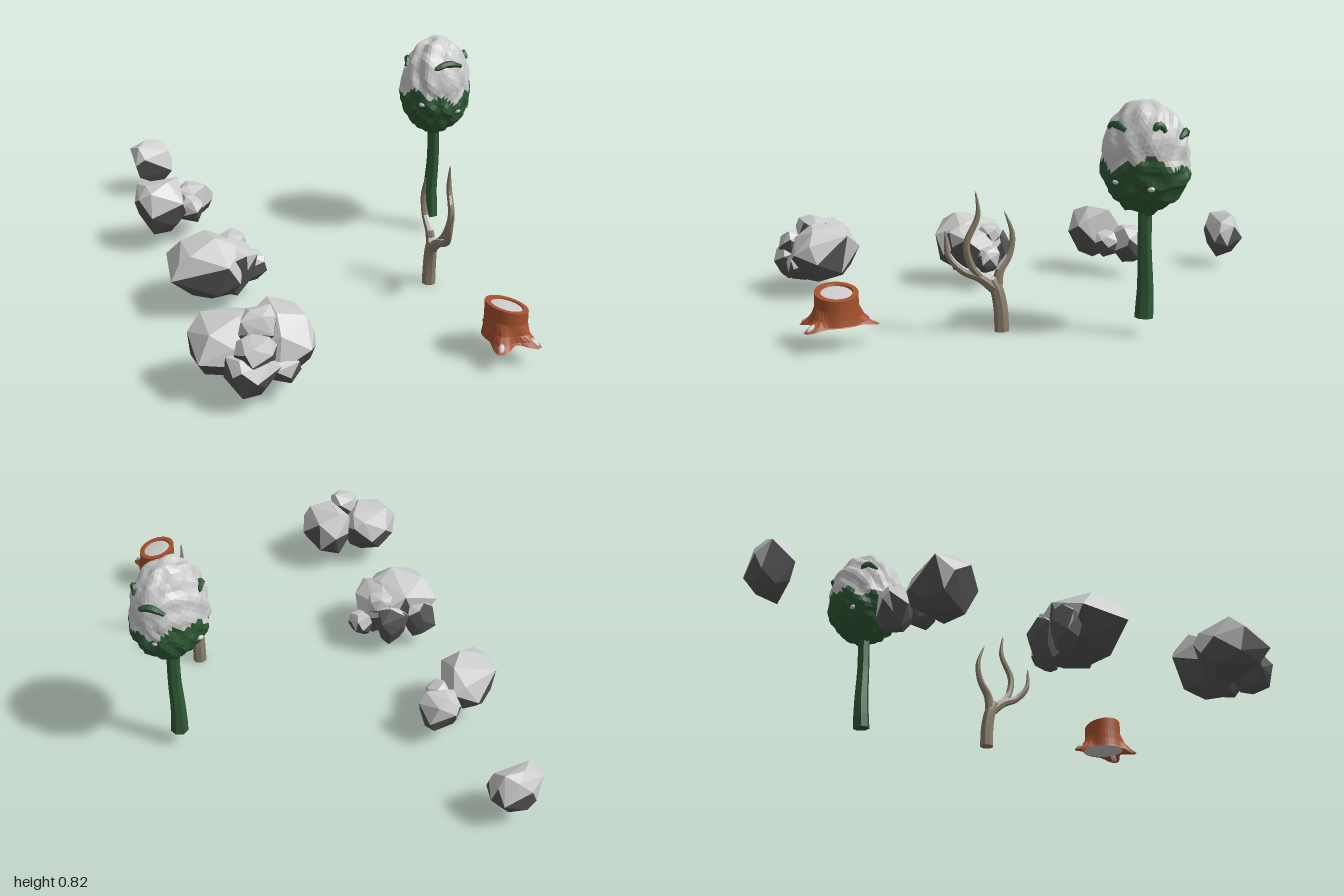
import * as THREE from 'three';
import { ConvexGeometry } from 'three/addons/geometries/ConvexGeometry.js';
import { mergeGeometries } from 'three/addons/utils/BufferGeometryUtils.js';

const V = (x, y, z) => new THREE.Vector3(x, y, z);
const paint = (color) => new THREE.MeshStandardMaterial({ color, flatShading: true });
const snow = paint(0xcccccc), stone = paint(0x565656), leaf = paint(0x2f5a35);
const bark = paint(0xa5512c), dryWood = paint(0x8a7f6b);

function seeded(seed) {
  let s = seed * 7919 + 17;
  return () => (s = (s * 16807) % 2147483647) / 2147483647;
}

function part(name, geometry, material) {
  const mesh = new THREE.Mesh(geometry, material);
  mesh.name = name;
  return mesh;
}

// Sort the faces of a geometry into snow-covered and bare meshes
function snowed(name, geometry, material, isSnow) {
  const src = geometry.index ? geometry.toNonIndexed() : geometry;
  const p = src.attributes.position, tri = new THREE.Triangle();
  const lists = [[], []], n = V(), c = V();
  for (let i = 0; i < p.count; i += 3) {
    tri.setFromAttributeAndIndices(p, i, i + 1, i + 2);
    tri.getNormal(n);
    tri.getMidpoint(c);
    const list = lists[isSnow(c, n) ? 1 : 0];
    for (const v of [tri.a, tri.b, tri.c]) list.push(v.x, v.y, v.z);
  }
  const group = new THREE.Group();
  group.name = name;
  lists.forEach((list, k) => {
    if (!list.length) return;
    const g = new THREE.BufferGeometry();
    g.setAttribute('position', new THREE.Float32BufferAttribute(list, 3));
    g.computeVertexNormals();
    group.add(part(name + (k ? 'Snow' : 'Bare'), g, k ? snow : material));
  });
  return group;
}

// Faceted boulder filling the box x0,x1,y0,y1,z0,z1
function rock([x0, x1, y0, y1, z0, z1], seed, level = 0.5) {
  const rand = seeded(seed), pts = [], count = 22;
  const boxy = (v) => Math.sign(v) * Math.abs(v) ** 0.8;
  for (let i = 0; i < count; i++) {
    const y = 1 - (2 * i + 1) / count, r = Math.sqrt(1 - y * y);
    const a = i * 2.4 + rand() * 0.9 + seed, k = 0.88 + rand() * 0.24;
    const taper = y < -0.3 ? 0.85 : 1;
    pts.push(V(boxy(r * Math.cos(a)) * k * taper, boxy(y) * k, boxy(r * Math.sin(a)) * k * taper));
  }
  const box = new THREE.Box3().setFromPoints(pts), size = box.getSize(V());
  const target = V(x1 - x0, y1 - y0, z1 - z0);
  pts.forEach((p) => p.sub(box.min).divide(size).multiply(target).add(V(x0, y0, z0)));
  return snowed('boulder', new ConvexGeometry(pts), stone,
    (c, n) => (c.y - y0) / (y1 - y0) + 0.25 * n.y > level);
}

// Tube along points with a radius per point and closed ends
function limb(points, radii, sides = 8, steps = 20) {
  const curve = new THREE.CatmullRomCurve3(points.map((p) => V(...p)));
  const g = new THREE.TubeGeometry(curve, steps, 1, sides);
  const p = g.attributes.position, v = V();
  for (let i = 0; i <= steps; i++) {
    const end = i === 0 || i === steps;
    const t = i / steps;
    const at = curve.getPointAt(i === 0 ? 1 / steps : i === steps ? 1 - 1 / steps : t);
    const f = curve.getUtoTmapping(t) * (radii.length - 1), k = Math.min(Math.floor(f), radii.length - 2);
    const r = end ? 0 : THREE.MathUtils.lerp(radii[k], radii[k + 1], f - k);
    const centre = i === steps ? curve.getPointAt(1) : i === 0 ? at : curve.getPointAt(t);
    for (let j = 0; j <= sides; j++) {
      const q = i * (sides + 1) + j;
      v.fromBufferAttribute(p, q).sub(curve.getPointAt(t)).multiplyScalar(r).add(centre);
      // the first full ring takes the base position so the base is flat
      if (i <= 1) v.add(curve.getPointAt(0)).sub(curve.getPointAt(1 / steps));
      p.setXYZ(q, v.x, v.y, v.z);
    }
  }
  return g;
}

// Lumpy crown surface in a given direction
function crownPoint(d, lift = 1) {
  const low = d.y < 0 ? 1 : 0.3;
  const bump = 1 + 0.035 * Math.sin(9 * d.x + 4 * d.y) * Math.cos(8 * d.z - 3 * d.y)
    + 0.035 * low * Math.sin(17 * d.x + 2) * Math.sin(15 * d.y) + 0.025 * Math.sin(13 * d.z + 11 * d.y);
  const fat = d.y < 0 ? 1 + 0.12 * Math.abs(d.y) * (1 + d.y) * 4 * 0.6 : 1;
  const k = bump * lift;
  return V(0.555 + (d.x * 0.143 - d.z * 0.012) * k * fat,
    0.635 + d.y * 0.193 * k,
    -0.16 + (d.z * 0.14 - d.x * 0.012) * k * fat);
}

function tree() {
  const g = new THREE.Group();
  g.name = 'snowyTree';
  g.add(part('trunk', limb([[0.55, 0.07, -0.162], [0.55, 0.18, -0.166], [0.555, 0.32, -0.16], [0.553, 0.49, -0.162]],
    [0.035, 0.029, 0.025, 0.024], 7, 16), leaf));
  const ball = new THREE.IcosahedronGeometry(1, 10), p = ball.attributes.position;
  for (let i = 0; i < p.count; i++) {
    const v = crownPoint(V().fromBufferAttribute(p, i).normalize());
    p.setXYZ(i, v.x, v.y, v.z);
  }
  g.add(snowed('crown', ball, leaf, (c) => {
    const a = Math.atan2(c.z + 0.16, c.x - 0.555);
    return c.y > 0.622 + 0.02 * Math.sin(3 * a + 0.5) + 0.014 * Math.sin(8 * a);
  }));
  // bare sprigs showing through the snow: start angle, end angle, height
  for (const [a0, a1, h] of [[1.0, 2.0, 0.5], [-1.3, -0.5, 0.36], [-0.1, 0.25, 0.5], [3.3, 3.8, 0.45]]) {
    const pts = [];
    for (let i = 0; i <= 4; i++) {
      const a = a0 + (a1 - a0) * i / 4;
      const y = h + 0.1 * Math.sin(Math.PI * i / 4), r = Math.sqrt(1 - y * y);
      pts.push(crownPoint(V(Math.cos(a) * r, y, Math.sin(a) * r)).toArray());
    }
    g.add(part('sprig', limb(pts, [0.006, 0.013, 0.014, 0.013, 0.006], 6, 12), leaf));
  }
  // small clumps of snow on the lower leaves
  for (const [a, y] of [[1.2, -0.4], [2.3, -0.2], [0.3, -0.5], [-1, -0.3], [-2.3, -0.45]]) {
    const r = Math.sqrt(1 - y * y), clump = part('snowClump', new THREE.IcosahedronGeometry(0.014, 1), snow);
    clump.position.copy(crownPoint(V(Math.cos(a) * r, y, Math.sin(a) * r), 0.97));
    clump.scale.y = 0.7;
    g.add(clump);
  }
  return g;
}

// Forked bare sapling
function deadTree() {
  const limbs = [
    limb([[0.345, 0.008, 0.294], [0.345, 0.09, 0.298], [0.343, 0.16, 0.312], [0.342, 0.205, 0.335]], [0.027, 0.026, 0.024, 0.018]),
    limb([[0.343, 0.15, 0.31], [0.34, 0.22, 0.3], [0.335, 0.28, 0.262], [0.332, 0.35, 0.25], [0.327, 0.435, 0.278]],
      [0.02, 0.017, 0.013, 0.01, 0.002]),
    limb([[0.343, 0.16, 0.315], [0.345, 0.205, 0.37], [0.345, 0.235, 0.435], [0.335, 0.29, 0.482], [0.345, 0.38, 0.495]],
      [0.022, 0.018, 0.014, 0.011, 0.002]),
    limb([[0.345, 0.2, 0.365], [0.355, 0.25, 0.405], [0.366, 0.33, 0.425], [0.372, 0.43, 0.385], [0.37, 0.518, 0.392]],
      [0.016, 0.014, 0.013, 0.01, 0.002]),
  ];
  return snowed('deadTree', mergeGeometries(limbs), dryWood, (c, n) => n.y > 0.45);
}

// Cut stump with three spreading roots and a tilted top
function stump() {
  const g = new THREE.Group();
  g.name = 'stump';
  const roots = [[-1.57, 0.064], [1.0, 0.058], [2.14, 0.058]];
  const tilt = (x, y) => y - 0.25 * x * y / 0.12;
  const wall = new THREE.LatheGeometry([[0.081, 0], [0.079, 0.018], [0.076, 0.04], [0.074, 0.075], [0.074, 0.12],
    [0.056, 0.121], [0.053, 0.112]].map(([x, y]) => new THREE.Vector2(x, y)), 40);
  const p = wall.attributes.position;
  for (let i = 0; i < p.count; i++) {
    const x = p.getX(i), y = p.getY(i), z = p.getZ(i), r = Math.hypot(x, z), a = Math.atan2(z, x);
    let flare = 0;
    for (const [ra, len] of roots) {
      const d = Math.atan2(Math.sin(a - ra), Math.cos(a - ra));
      flare += len * Math.exp(-((d / 0.33) ** 2));
    }
    const k = 1 + flare * Math.max(0, 1 - y / 0.07) ** 1.6 / r;
    const arch = y < 0.01 ? 0.012 * (1 - flare / 0.058) : 0;
    p.setXYZ(i, x * k, tilt(x, y) + arch, z * k);
  }
  const side = bark.clone();
  side.side = THREE.DoubleSide;
  g.add(part('stumpWall', wall, side));
  // snow lying on the cut top
  const cap = new THREE.SphereGeometry(0.056, 20, 6, 0, Math.PI * 2, 0, Math.PI / 2).scale(1, 0.12, 1);
  const q = cap.attributes.position;
  for (let i = 0; i < q.count; i++) q.setY(i, tilt(q.getX(i), q.getY(i) + 0.113));
  g.add(part('topSnow', cap, snow));
  // underside
  g.add(part('underside', new THREE.CircleGeometry(0.08, 24).rotateX(Math.PI / 2).translate(0, 0.014, 0), snow));
  // snow patches on the roots
  for (const [a, len] of roots) {
    const patch = part('rootSnow', new THREE.IcosahedronGeometry(1, 1), snow);
    const r = 0.078 + len * 0.6;
    patch.scale.set(0.021, 0.009, 0.011);
    patch.rotation.set(0, -a, -0.5, 'YXZ');
    patch.position.set(Math.cos(a) * r, 0.015, Math.sin(a) * r);
    g.add(patch);
  }
  g.position.set(0.368, 0.076, 0.876);
  return g;
}

export function createModel() {
  const model = new THREE.Group();
  model.name = 'winterSceneryCollection';
  // boulder boxes per cluster, with an optional snow level
  const clusters = {
    frontRocks: [[[-0.7, -0.46, 0.07, 0.285, 0.665, 0.89]], [[-0.5, -0.3, 0.06, 0.29, 0.67, 0.94]],
      [[-0.56, -0.43, 0.19, 0.32, 0.79, 0.9]], [[-0.59, -0.455, 0.13, 0.26, 0.86, 0.97]],
      [[-0.48, -0.37, 0.07, 0.18, 0.85, 0.95]], [[-0.62, -0.45, 0.06, 0.2, 0.86, 0.99], 0.75]],
    largeRocks: [[[-0.645, -0.36, 0.06, 0.3, 0.09, 0.35]], [[-0.5, -0.3, 0.06, 0.27, 0.09, 0.31]],
      [[-0.355, -0.265, 0.07, 0.18, 0.11, 0.21]], [[-0.6, -0.47, 0.05, 0.22, 0.05, 0.15], 0.95],
      [[-0.48, -0.35, 0.05, 0.23, 0.04, 0.15], 1.05], [[-0.43, -0.33, 0.15, 0.26, 0.1, 0.2]]],
    middleRocks: [[[-0.635, -0.435, 0.07, 0.29, -0.49, -0.27]], [[-0.465, -0.3, 0.06, 0.22, -0.53, -0.4]],
      [[-0.455, -0.36, 0.09, 0.2, -0.43, -0.32]]],
    backRock: [[[-0.535, -0.365, 0.05, 0.245, -1, -0.865]]],
  };
  let seed = 1;
  for (const [name, rocks] of Object.entries(clusters)) {
    const cluster = new THREE.Group();
    cluster.name = name;
    for (const [box, level] of rocks) cluster.add(rock(box, seed++, level));
    model.add(cluster);
  }
  model.add(tree(), deadTree(), stump());
  return model;
}
